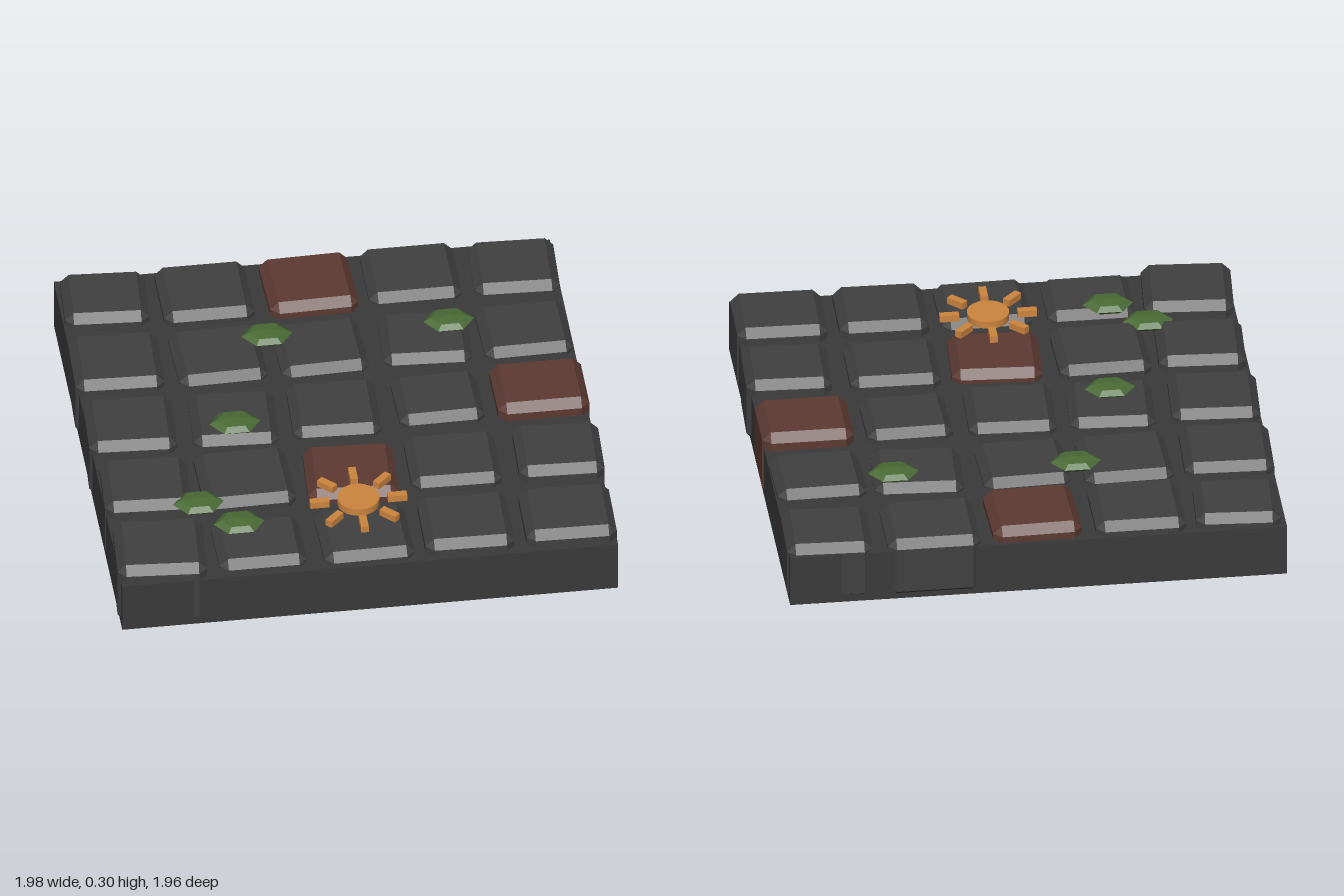
import * as THREE from 'three';
import { ConvexGeometry } from 'three/addons/geometries/ConvexGeometry.js';

const mat = (name, color, flatShading = false) => {
  const m = new THREE.MeshStandardMaterial({ color, flatShading });
  m.name = name;
  return m;
};

// Box with every edge chamfered once: 24 corner points
function chamferedBox(w, h, d, b) {
  const pts = [];
  for (const sx of [-1, 1]) for (const sy of [-1, 1]) for (const sz of [-1, 1]) {
    for (let face = 0; face < 3; face++) {
      const half = [w / 2, h / 2, d / 2].map((v, i) => (i === face ? v : v - b));
      pts.push(new THREE.Vector3(half[0] * sx, half[1] * sy, half[2] * sz));
    }
  }
  return new ConvexGeometry(pts);
}

export function createModel() {
  const group = new THREE.Group();
  group.name = 'stonePavement';
  const slab = mat('dark mortar', 0x3a3a3a);
  const stone = mat('grey stone', 0x404040);
  const brick = mat('red brick', 0x5c3a32);
  const green = mat('moss green', 0x4a6b35, true);
  const bronze = mat('bronze', 0xcd853f);

  const add = (name, geo, material, x, y, z, parent = group) => {
    const m = new THREE.Mesh(geo, material);
    m.name = name;
    m.position.set(x, y, z);
    parent.add(m);
    return m;
  };

  // Mortar slab
  add('baseSlab', new THREE.BoxGeometry(1.952, 0.213, 1.952), slab, -0.002, 0.1085, 0.002);

  // Paving stones, one row per line: x, z, width, depth, turn in degrees, top height
  const rows = [
    [[-.80, -.81, .33, .31, 3.5, .27], [-.41, -.795, .355, .345, 0, .27], [0, -.79, .35, .34, -1.5, .275],
      [.405, -.815, .365, .34, 0, .26], [.81, -.81, .335, .325, 2, .255]],
    [[-.81, -.405, .35, .34, 2, .27], [-.41, -.405, .35, .34, -1.5, .257], [-.01, -.40, .345, .325, -2, .257],
      [.405, -.405, .35, .315, 3, .257], [.795, -.40, .35, .32, -1, .262]],
    [[-.81, -.005, .345, .33, 3, .27], [-.405, 0, .335, .325, 3, .257], [-.01, 0, .345, .335, 2, .265],
      [.40, -.01, .335, .30, -1, .265], [.80, -.01, .36, .31, 0, .282]],
    [[-.805, .39, .34, .325, 3, .275], [-.415, .395, .36, .345, -1, .27], [0, .405, .355, .33, 3, .265],
      [.405, .39, .355, .32, 1, .27], [.82, .395, .335, .315, 2, .28]],
    [[-.805, .80, .35, .34, 4, .28], [-.415, .80, .345, .30, 0, .26], [0, .80, .355, .325, -1, .262],
      [.40, .795, .35, .33, 1, .278], [.80, .795, .355, .325, 1, .28]],
  ];
  const brickCells = ['0,2', '2,4', '3,2'];
  rows.forEach((row, r) => row.forEach(([x, z, w, d, deg, top], c) => {
    const isBrick = brickCells.includes(`${r},${c}`);
    const bottom = isBrick ? 0 : 0.004;
    const tile = add(isBrick ? 'brickTile' : 'stoneTile',
      chamferedBox(w, top - bottom, d, 0.033), isBrick ? brick : stone, x, (top + bottom) / 2, z);
    tile.rotation.y = -THREE.MathUtils.degToRad(deg);
  }));

  // Flattened moss clumps
  const mossGeo = new THREE.SphereGeometry(0.1, 6, 4).scale(1, 0.25, 0.78);
  for (const [x, z] of [[-.21, -.465], [.505, -.46], [-.41, .07], [-.62, .555], [-.48, .70]]) {
    add('mossClump', mossGeo, green, x, 0.265, z);
  }

  // Sun emblem: a disc ringed by eight short rays
  const sun = new THREE.Group();
  sun.name = 'sunEmblem';
  sun.position.set(-0.003, 0.284, 0.645);
  group.add(sun);
  add('sunDisc', new THREE.CylinderGeometry(0.083, 0.083, 0.03, 20), bronze, 0, 0, 0, sun);
  const rayGeo = new THREE.BoxGeometry(0.076, 0.028, 0.03);
  for (let i = 0; i < 8; i++) {
    const a = (i * Math.PI) / 4;
    add('sunRay', rayGeo, bronze, 0.153 * Math.cos(a), 0, -0.153 * Math.sin(a), sun).rotation.y = a;
  }
  return group;
}
